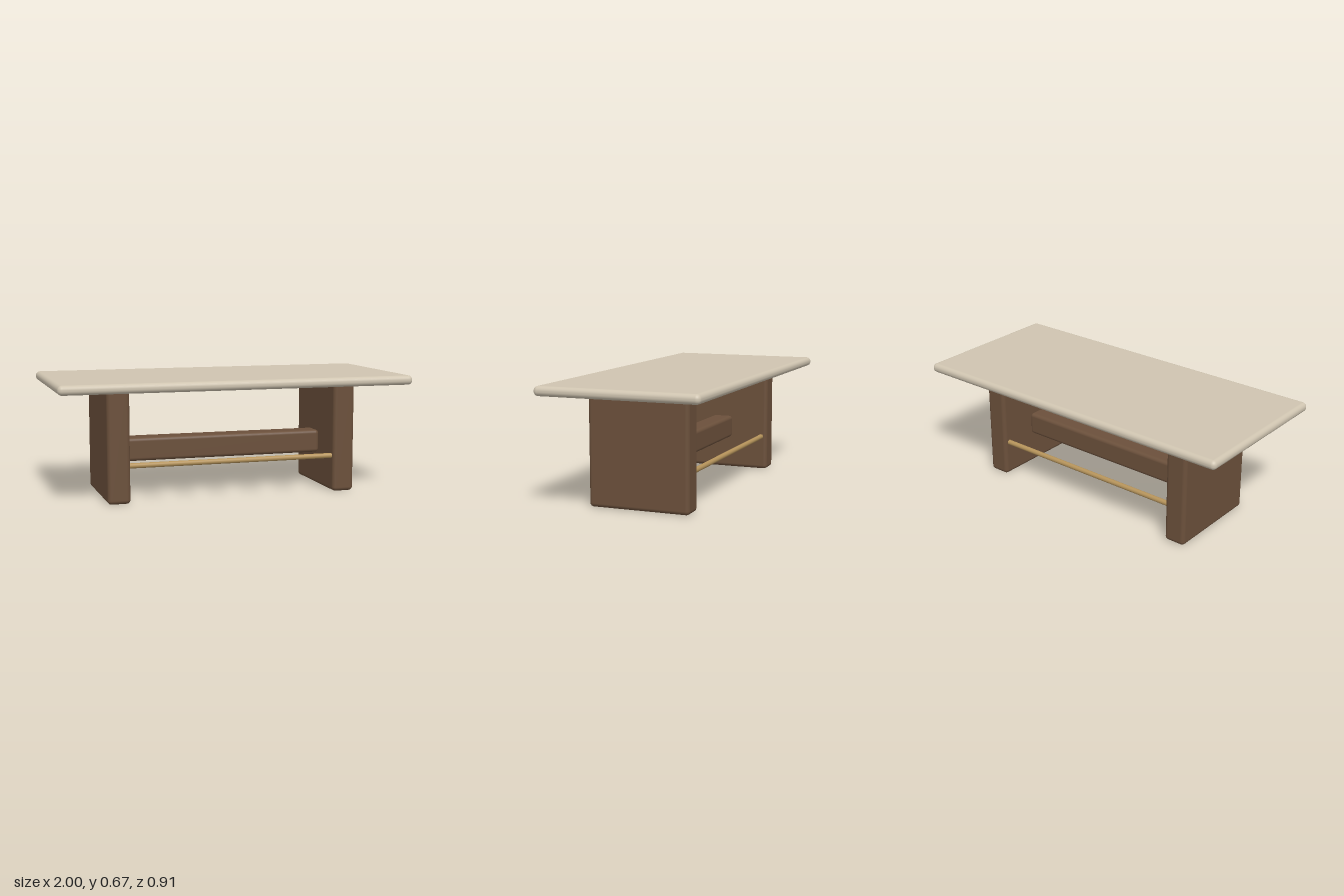
import * as THREE from 'three';
import { RoundedBoxGeometry } from 'three/addons/geometries/RoundedBoxGeometry.js';

const stone = new THREE.MeshStandardMaterial({ color: 0xcfc4b0 });
const wood = new THREE.MeshStandardMaterial({ color: 0x6b503b });
const brass = new THREE.MeshStandardMaterial({ color: 0xb5935a });

export function createModel() {
  const table = new THREE.Group();
  table.name = 'table';

  const add = (name, geometry, material, x, y, z) => {
    const mesh = new THREE.Mesh(geometry, material);
    mesh.name = name;
    mesh.position.set(x, y, z);
    table.add(mesh);
    return mesh;
  };

  // Slab top with a fully rounded edge
  add('tabletop', new RoundedBoxGeometry(2, 0.053, 0.908, 6, 0.025), stone, 0, 0.6465, 0);

  // Panel legs, their rounded tops sunk into the slab
  const leg = new RoundedBoxGeometry(0.126, 0.645, 0.572, 5, 0.022);
  add('leftLeg', leg, wood, 0.654, 0.3225, 0);
  add('rightLeg', leg, wood, -0.654, 0.3225, 0);

  // Central beam between the legs
  add('stretcherBeam', new RoundedBoxGeometry(1.184, 0.132, 0.126, 5, 0.02), wood, 0, 0.261, 0);

  // Slim rods near the front and back edges of the legs
  const rod = new THREE.CylinderGeometry(0.0145, 0.0145, 1.2, 24);
  rod.rotateZ(Math.PI / 2);
  add('frontRod', rod, brass, 0, 0.205, 0.25);
  add('backRod', rod, brass, 0, 0.205, -0.25);

  return table;
}
